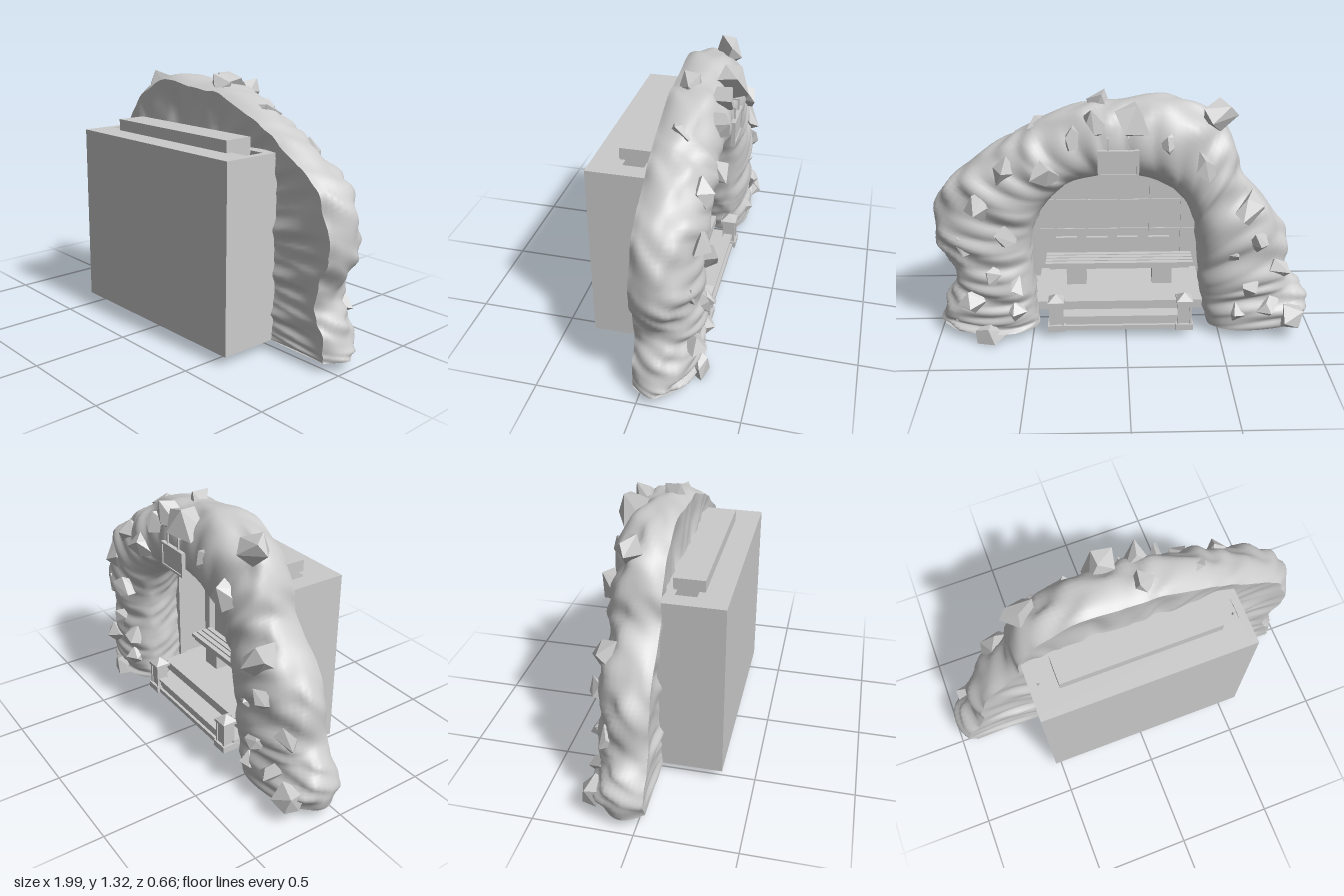
import * as THREE from 'three';
import { ConvexGeometry } from 'three/addons/geometries/ConvexGeometry.js';

const CX = 0.03; // centre line of the shelter
const mat = new THREE.MeshStandardMaterial({ color: 0xcccccc });
const rockMat = new THREE.MeshStandardMaterial({ color: 0xcccccc, side: THREE.DoubleSide });
const flatMat = new THREE.MeshStandardMaterial({ color: 0xcccccc, flatShading: true });

let seed = 7;
const rand = () => (seed = (seed * 16807) % 2147483647) / 2147483647;

function add(parent, name, geometry, x = 0, y = 0, z = 0, material = mat) {
  const m = new THREE.Mesh(geometry, material);
  m.name = name;
  m.position.set(x, y, z);
  parent.add(m);
  return m;
}

// Box given by its limits on each axis
function block(parent, name, x0, x1, y0, y1, z0, z1) {
  return add(parent, name, new THREE.BoxGeometry(x1 - x0, y1 - y0, z1 - z0),
    (x0 + x1) / 2, (y0 + y1) / 2, (z0 + z1) / 2);
}

// Matching points along the arch: outer x, outer y, opening x, opening y
const ARCH = [
  [-0.96, 0.05, -0.43, 0.05], [-0.995, 0.15, -0.41, 0.13], [-0.93, 0.26, -0.39, 0.22],
  [-0.865, 0.35, -0.38, 0.3], [-0.845, 0.55, -0.37, 0.42], [-0.75, 0.72, -0.36, 0.55],
  [-0.59, 0.9, -0.34, 0.66], [-0.55, 1.05, -0.3, 0.75], [-0.44, 1.2, -0.23, 0.83],
  [-0.2, 1.295, -0.1, 0.89], [0.02, 1.275, 0.05, 0.91], [0.22, 1.255, 0.16, 0.9],
  [0.45, 1.165, 0.28, 0.87], [0.6, 1.08, 0.35, 0.81], [0.76, 0.98, 0.42, 0.73],
  [0.9, 0.87, 0.46, 0.63], [0.98, 0.7, 0.48, 0.54], [0.985, 0.55, 0.48, 0.45],
  [0.925, 0.41, 0.48, 0.35], [0.905, 0.3, 0.47, 0.25], [0.96, 0.2, 0.47, 0.17],
  [0.98, 0.1, 0.46, 0.1], [0.99, 0.05, 0.46, 0.05],
];
// Cross-sections: share of the way from outer edge to opening, and depth
const SHELL = [[0.09, 0.035], [0.03, -0.01], [0, -0.07], [0.03, -0.13], [0.15, -0.195],
  [0.35, -0.235], [0.6, -0.25], [0.82, -0.23], [0.97, -0.17], [0.98, -0.08], [0.9, 0.03]];
const FACE = [[0.09, 0.035], [0.4, 0.022], [0.7, 0.02], [0.9, 0.03]];

// Surface swept along the arch, with folds and ledges across it
function sweep(profile, depthFold) {
  const v3 = (x, y) => new THREE.Vector3(x, y, 0);
  const outer = new THREE.CatmullRomCurve3(ARCH.map(r => v3(r[0], r[1])));
  const inner = new THREE.CatmullRomCurve3(ARCH.map(r => v3(r[2], r[3])));
  const section = new THREE.CatmullRomCurve3(profile.map(p => v3(p[0], p[1])));
  const U = 180, V = 28, pos = [], index = [];
  for (let i = 0; i <= U; i++) {
    const u = i / U, o = outer.getPoint(u), n = inner.getPoint(u);
    for (let j = 0; j <= V; j++) {
      const s = section.getPoint(j / V), w = s.y * 22;
      const fold = Math.sin(u * 71 + 2 * Math.sin(w)) + 0.7 * Math.sin(u * 133 + w * 1.7)
        + 0.6 * Math.sin(u * 29 - w) - Math.abs(Math.sin(u * 97 + w * 0.8 + 4 * s.x)) + 0.5;
      const f = s.x + 0.013 * fold * (1 - 0.5 * s.x);
      pos.push(o.x + (n.x - o.x) * f, Math.max(0.05, o.y + (n.y - o.y) * f),
        s.y + depthFold * fold * Math.sin(Math.PI * j / V));
      if (i < U && j < V) {
        const a = i * (V + 1) + j, b = a + V + 1;
        index.push(a, a + 1, b, b, a + 1, b + 1);
      }
    }
  }
  const g = new THREE.BufferGeometry();
  g.setAttribute('position', new THREE.Float32BufferAttribute(pos, 3));
  g.setIndex(index);
  g.computeVertexNormals();
  return g;
}

// Flat underside of one leg of the arch
function legBase(row) {
  const pts = SHELL.map(([f, z]) => new THREE.Vector2(row[0] + (row[2] - row[0]) * f, z));
  return new THREE.ShapeGeometry(new THREE.Shape(pts)).rotateX(Math.PI / 2);
}

// Angular chunk: hull of a few scattered points around a squashed ball
function chunk(size) {
  const pts = [];
  for (let i = 0; i < 8; i++) {
    const y = 1 - (2 * i + 1) / 8, r = Math.sqrt(1 - y * y), a = i * 2.4 + rand();
    const k = size * (0.8 + 0.5 * rand());
    pts.push(new THREE.Vector3(Math.cos(a) * r * k * 1.1, y * k, Math.sin(a) * r * k * 0.8));
  }
  return new ConvexGeometry(pts);
}

export function createModel() {
  const model = new THREE.Group();

  // Rock surround and embedded stones
  const rocks = new THREE.Group();
  rocks.name = 'rockSurround';
  model.add(rocks);
  add(rocks, 'rockArch', sweep(SHELL, 0.009), 0, 0, 0, rockMat);
  add(rocks, 'rockFlatFace', sweep(FACE, 0.008), 0, 0, 0, rockMat);
  for (const row of [ARCH[0], ARCH[ARCH.length - 1]]) add(rocks, 'legBase', legBase(row), 0, 0.05, 0, rockMat);
  const stones = [
    [-0.45, 1.205, -0.14, 0.08], [0.13, 1.24, -0.06, 0.07], [0.41, 1.15, -0.08, 0.075],
    [-0.03, 1.22, -0.23, 0.09], [0.14, 1.2, -0.22, 0.08], [0.26, 1.12, -0.22, 0.065],
    [0.4, 0.95, -0.24, 0.07], [0.72, 0.78, -0.23, 0.07], [0.6, 0.95, -0.22, 0.07],
    [-0.39, 0.98, -0.23, 0.075], [-0.63, 0.75, -0.22, 0.08], [-0.68, 0.56, -0.23, 0.07],
    [-0.78, 0.38, -0.18, 0.065], [-0.65, 0.32, -0.24, 0.06], [-0.75, 0.19, -0.22, 0.06],
    [-0.88, 0.12, -0.22, 0.075], [0.6, 0.61, -0.25, 0.07], [0.79, 0.24, -0.22, 0.07],
    [0.57, 0.18, -0.23, 0.06], [0.72, 0.075, -0.23, 0.07], [0.68, 0.4, -0.24, 0.06],
    [0.82, 0.55, -0.2, 0.06], [-0.55, 0.5, -0.23, 0.05], [-0.58, 0.15, -0.23, 0.055],
    [0.86, 0.15, -0.17, 0.06], [-0.22, 1.1, -0.23, 0.065], [0.56, 0.33, -0.24, 0.055],
  ];
  for (const [x, y, z, size] of stones) {
    const s = add(rocks, 'stone', chunk(size), x, y, z, flatMat);
    s.rotation.set(rand() * 0.6, rand() * 0.8, rand() * 3);
    // only the fallen stone reaches below the rock's base
    const floor = x === 0.72 && y === 0.075 ? 0 : 0.05;
    const low = new THREE.Box3().setFromObject(s, true).min.y;
    if (low < floor || floor === 0) s.position.y += floor - low;
  }

  // Room shell behind the arch
  const room = new THREE.Group();
  room.name = 'room';
  model.add(room);
  block(room, 'rearWall', -0.53, 0.595, 0.05, 0.99, 0.3, 0.335);
  block(room, 'rightWall', -0.53, -0.5, 0.05, 0.99, 0, 0.3);
  block(room, 'leftWall', 0.565, 0.595, 0.05, 0.99, 0, 0.3);
  block(room, 'floor', -0.5, 0.565, 0.05, 0.1, 0, 0.3);
  block(room, 'entranceFloor', -0.35, 0.41, 0.05, 0.1, -0.17, 0);
  block(room, 'platform', -0.42, 0.48, 0.1, 0.15, -0.09, 0.3);

  // Roof with a slot, and the raised cover over it
  const slab = (x0, x1, z0, z1, P) => new P().moveTo(x0, -z0).lineTo(x1, -z0)
    .lineTo(x1, -z1).lineTo(x0, -z1).closePath();
  const roofShape = slab(-0.5, 0.565, 0, 0.3, THREE.Shape);
  roofShape.holes.push(slab(-0.49, 0.555, 0.075, 0.18, THREE.Path));
  const roof = new THREE.ExtrudeGeometry(roofShape, { depth: 0.04, bevelEnabled: false });
  add(room, 'slottedRoof', roof.rotateX(-Math.PI / 2), 0, 0.95, 0);
  block(room, 'ceiling', -0.5, 0.565, 0.92, 0.95, 0, 0.3);
  block(room, 'roofCover', -0.39, 0.455, 0.96, 1.05, 0.055, 0.21);
  for (const x of [-0.48, 0.545]) add(room, 'slotPin', new THREE.CylinderGeometry(0.006, 0.006, 0.03, 8), x, 0.965, 0.14);
  for (let i = 0; i < 4; i++) block(room, 'ceilingBeam', -0.5, 0.565, 0.89, 0.92, 0.02 + i * 0.07, 0.05 + i * 0.07);

  // Wall panelling strips, seat backs and side pillars
  for (let i = 0; i < 5; i++) {
    const x = -0.33 + i * 0.18;
    block(room, 'wallStrip', x - 0.006, x + 0.006, 0.15, 0.9, 0.29, 0.3);
  }
  for (const y of [0.4, 0.58, 0.76]) block(room, 'wallRail', -0.42, 0.48, y - 0.006, y + 0.006, 0.292, 0.3);
  for (const x of [-0.2, -0.02, 0.155, 0.33]) block(room, 'seatBack', x - 0.06, x + 0.06, 0.26, 0.36, 0.27, 0.29);
  for (const x of [-0.06, 0.12]) block(room, 'notice', x - 0.055, x + 0.055, 0.78, 0.87, 0.28, 0.29);
  for (const side of [-1, 1]) {
    const x = CX + side * 0.51;
    for (const z of [0.06, 0.27]) block(room, 'sidePillar', x - 0.025, x + 0.025, 0.1, 0.92, z - 0.02, z + 0.02);
  }

  // Slatted bench
  const bench = new THREE.Group();
  bench.name = 'bench';
  model.add(bench);
  for (let i = 0; i < 4; i++) block(bench, 'slat', -0.38, 0.44, 0.275, 0.295, 0.075 + i * 0.036, 0.103 + i * 0.036);
  block(bench, 'seatFrame', -0.36, 0.42, 0.255, 0.275, 0.085, 0.2);
  for (const side of [-1, 1]) {
    const x = CX + side * 0.24;
    block(bench, 'support', x - 0.055, x + 0.055, 0.15, 0.255, 0.1, 0.19);
  }

  // Entrance kerb and capped posts
  const entrance = new THREE.Group();
  entrance.name = 'entrance';
  model.add(entrance);
  block(entrance, 'kerbBase', -0.3, 0.37, 0.05, 0.075, -0.22, -0.16);
  block(entrance, 'kerb', -0.3, 0.37, 0.075, 0.115, -0.205, -0.175);
  block(entrance, 'kerbTop', -0.3, 0.37, 0.115, 0.13, -0.215, -0.165);
  for (const side of [-1, 1]) {
    const x = CX + side * 0.34;
    const box = (name, r, y0, y1) => block(entrance, name, x - r, x + r, y0, y1, -0.19 - r, -0.19 + r);
    box('postFoot', 0.046, 0.05, 0.085);
    box('post', 0.032, 0.085, 0.205);
    box('postCollar', 0.043, 0.205, 0.22);
    const cap = add(entrance, 'postCap', new THREE.ConeGeometry(0.058, 0.035, 4), x, 0.2375, -0.19, flatMat);
    cap.rotation.y = Math.PI / 4;
    for (const k of [-1, 1]) block(entrance, 'postTrim', x + k * 0.032 - 0.006, x + k * 0.032 + 0.006, 0.085, 0.205, -0.228, -0.216);
  }

  // Blank hanging sign over the opening
  const sign = new THREE.Group();
  sign.name = 'hangingSign';
  model.add(sign);
  block(sign, 'signBoard', -0.06, 0.14, 0.95, 1.08, -0.275, -0.26);
  for (const y of [0.95, 1.068]) block(sign, 'signFrame', -0.06, 0.14, y, y + 0.012, -0.281, -0.275);
  for (const x of [-0.06, 0.128]) block(sign, 'signFrame', x, x + 0.012, 0.95, 1.08, -0.281, -0.275);
  for (const x of [-0.01, 0.09]) {
    block(sign, 'hanger', x - 0.004, x + 0.004, 1.08, 1.14, -0.272, -0.264);
    block(sign, 'hangerArm', x - 0.004, x + 0.004, 1.132, 1.14, -0.272, -0.2);
  }
  return model;
}
